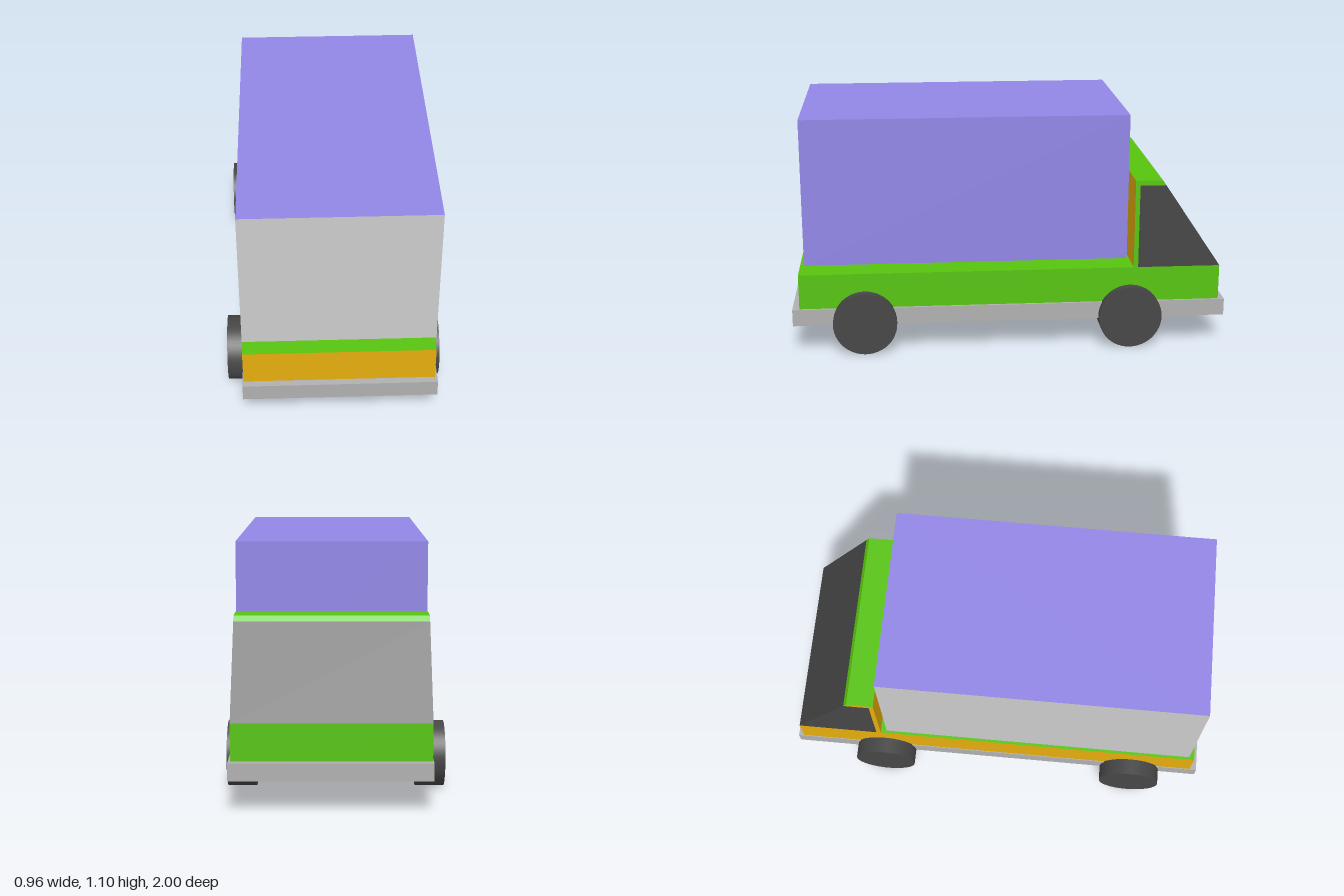
import * as THREE from 'three';

const X0 = -0.407, X1 = 0.442; // shared sides of body, cab and cargo box

const mat = (color) => new THREE.MeshStandardMaterial({ color });
const green = mat(0x58c40f), gold = mat(0xe6ad0e), purple = mat(0x9286e6);
const grey = mat(0xcccccc), steel = mat(0xb0b0b0), dark = mat(0x464646);

// Box from its limits on each axis
function box(x0, x1, y0, y1, z0, z1) {
  return new THREE.BoxGeometry(x1 - x0, y1 - y0, z1 - z0)
    .translate((x0 + x1) / 2, (y0 + y1) / 2, (z0 + z1) / 2);
}

// Side profile of [z, y] points, extruded across the full width
function profile(points) {
  const shape = new THREE.Shape(points.map(([z, y]) => new THREE.Vector2(z, y)));
  return new THREE.ExtrudeGeometry(shape, { depth: X1 - X0, bevelEnabled: false })
    .rotateY(-Math.PI / 2).translate(X1, 0, 0);
}

// Faces towards -x, -y and +z take the second material
function twoTone(geometry) {
  const geo = geometry.index ? geometry.toNonIndexed() : geometry;
  const n = geo.attributes.normal;
  geo.clearGroups();
  for (let i = 0; i < n.count; i += 3) {
    const second = n.getX(i) < -0.5 || n.getY(i) < -0.5 || n.getZ(i) > 0.5;
    geo.addGroup(i, 3, second ? 1 : 0);
  }
  return geo;
}

export function createModel() {
  const truck = new THREE.Group();
  truck.name = 'truck';
  const add = (name, geometry, material) => {
    const mesh = new THREE.Mesh(geometry, material);
    mesh.name = name;
    truck.add(mesh);
    return mesh;
  };

  // Chassis slab and lower body
  add('chassis', box(-0.411, 0.453, 0.137, 0.215, -1, 1), steel);
  add('body', twoTone(box(X0, X1, 0.215, 0.378, -0.973, 0.968)), [green, gold]);

  // Cargo box, held just above the body
  add('cargoBox', twoTone(box(X0, X1, 0.424, 1.097, -0.537, 0.938)), [purple, grey]);

  // Cab: L-shaped rear wall and roof around the dark glass wedge
  add('cabShell', twoTone(profile([
    [-0.592, 0.378], [-0.571, 0.378], [-0.571, 0.791],
    [-0.695, 0.791], [-0.711, 0.768], [-0.592, 0.768],
  ])), [green, gold]);
  add('cabWindows', profile([
    [-0.973, 0.378], [-0.592, 0.378], [-0.592, 0.768], [-0.711, 0.768],
  ]), dark);

  // Wheels
  const wheelGeo = new THREE.CylinderGeometry(0.1465, 0.1465, 0.127, 48).rotateZ(Math.PI / 2);
  for (const [side, x] of [['Right', -0.419], ['Left', 0.417]]) {
    for (const [end, z] of [['cab', -0.556], ['cargo', 0.67]]) {
      add(`${end}Wheel${side}`, wheelGeo, dark).position.set(x, 0.1465, z);
    }
  }
  return truck;
}
